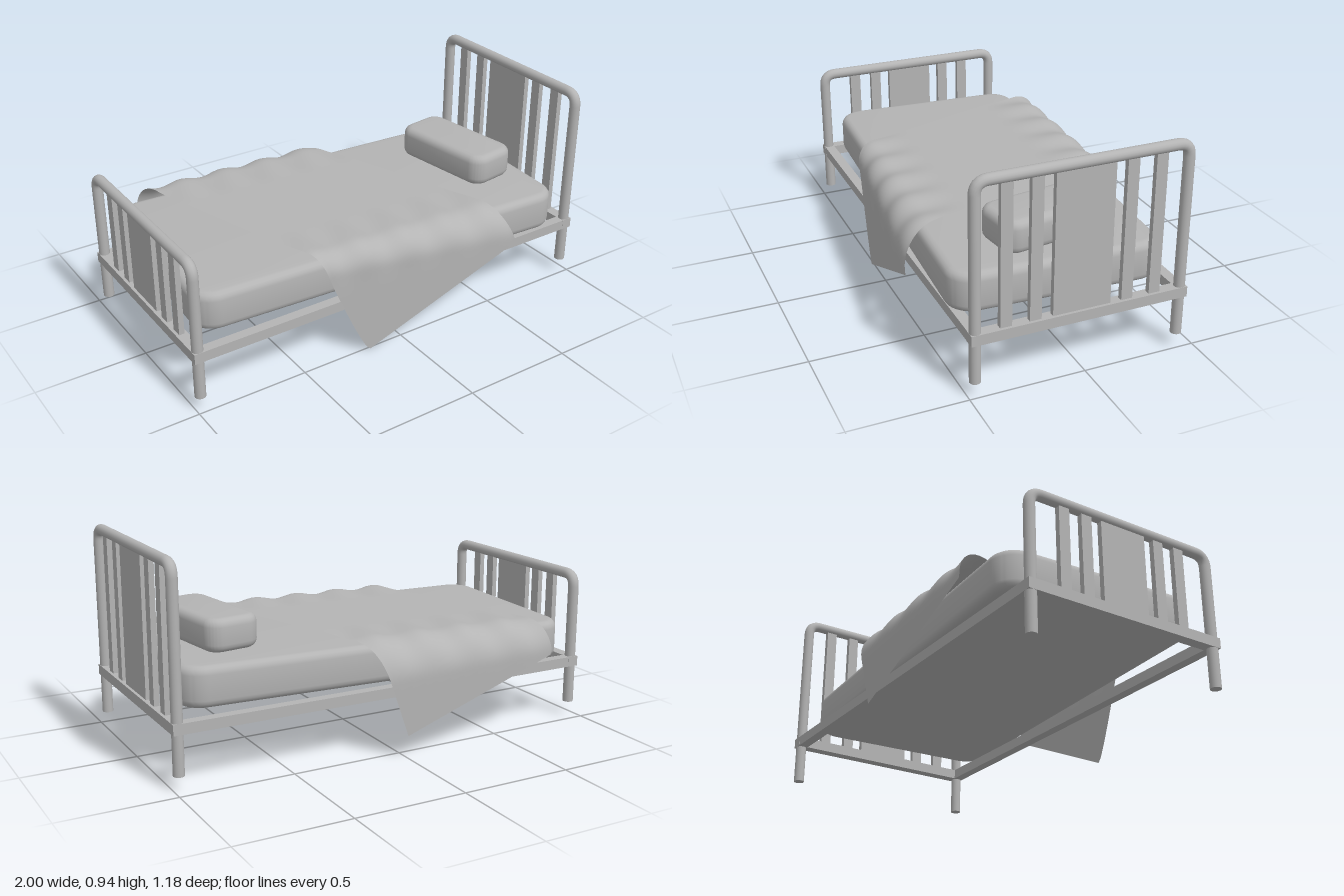
import * as THREE from 'three';
import { toCreasedNormals } from 'three/addons/utils/BufferGeometryUtils.js';

const MID_Z = 0.0175; // the frame sits slightly forward of centre
const POST_R = 0.024;

// Box-like cushion: rounded outline in plan, rounded top and bottom edges
function cushionGeometry(length, width, height, corner, bevel) {
  const a = length / 2 - bevel, b = width / 2 - bevel, r = corner - bevel;
  const s = new THREE.Shape();
  s.absarc(a - r, b - r, r, 0, Math.PI / 2);
  s.absarc(-a + r, b - r, r, Math.PI / 2, Math.PI);
  s.absarc(-a + r, -b + r, r, Math.PI, Math.PI * 1.5);
  s.absarc(a - r, -b + r, r, Math.PI * 1.5, Math.PI * 2);
  const g = new THREE.ExtrudeGeometry(s, {
    depth: height - 2 * bevel, bevelThickness: bevel, bevelSize: bevel, bevelSegments: 4, curveSegments: 8,
  });
  g.translate(0, 0, bevel);
  g.rotateX(-Math.PI / 2);
  return toCreasedNormals(g, 0.6);
}

// Cloth laid over the mattress: a flat slanted sheet folded down at both sides
function blanketGeometry() {
  const nu = 48, nv = 90;
  const g = new THREE.PlaneGeometry(1, 1, nu, nv);
  const p = g.attributes.position;
  const lerp = THREE.MathUtils.lerp, smooth = THREE.MathUtils.smoothstep;
  for (let i = 0; i < p.count; i++) {
    const u = p.getX(i) + 0.5, v = 0.5 - p.getY(i); // v runs from back to front
    const bow = 0.06 * Math.sqrt(Math.max(0, Math.sin(Math.PI * v))) * (1 - u);
    const x = lerp(lerp(-0.73, -0.17, v), lerp(0, 0.56, v), u) - bow;
    const flatZ = lerp(lerp(-0.68, 0.977, v), lerp(-0.914, 0.7, v), u);
    const side = flatZ > 0 ? 1 : -1;
    const start = side > 0 ? 0.42 + 0.055 * x : 0.41 - 0.055 * x;
    const R = side > 0 ? 0.11 + 0.06 * x : 0.165 + 0.035 * x;
    const d = Math.abs(flatZ) - start;
    let z = flatZ, drop = 0;
    if (d > 0) {
      const t = Math.min(d / R, Math.PI / 2);
      z = side * (start + R * Math.sin(t));
      drop = R * (1 - Math.cos(t)) + Math.max(0, d - R * Math.PI / 2);
    }
    // soft wrinkles that fade in towards the folds
    const k = smooth(d, -0.2, 0) * (1 - smooth(d, 0.05, 0.25));
    const wave = 0.007 * k * Math.sin(x * 30 + side);
    p.setXYZ(i, x, 0.508 - drop + wave, z + side * wave * 0.6);
  }
  g.computeVertexNormals();
  return g;
}

export function createModel() {
  const bed = new THREE.Group();
  bed.name = 'bed';
  const grey = new THREE.MeshStandardMaterial({ color: 0xb4b4b4 });
  grey.name = 'grey';
  const greyCloth = grey.clone();
  greyCloth.side = THREE.DoubleSide;

  const add = (parent, name, geometry, x, y, z, material = grey) => {
    const m = new THREE.Mesh(geometry, material);
    m.name = name;
    m.position.set(x, y, z);
    parent.add(m);
    return m;
  };
  const box = (parent, name, w, h, d, x, y, z) => add(parent, name, new THREE.BoxGeometry(w, h, d), x, y, z);

  // Bent tube hoop with slats and a centre panel; slat centres are offsets from the middle
  function endBoard(name, x, top, slats, panelWidth) {
    const board = new THREE.Group();
    board.name = name;
    board.position.set(x, 0, MID_Z);
    const V = (y, z) => new THREE.Vector3(0, y, z);
    const h = 0.45, t = top - POST_R, r = 0.055, base = 0.06;
    const path = new THREE.CurvePath();
    path.add(new THREE.LineCurve3(V(base, h), V(t - r, h)));
    path.add(new THREE.QuadraticBezierCurve3(V(t - r, h), V(t, h), V(t, h - r)));
    path.add(new THREE.LineCurve3(V(t, h - r), V(t, -h + r)));
    path.add(new THREE.QuadraticBezierCurve3(V(t, -h + r), V(t, -h), V(t - r, -h)));
    path.add(new THREE.LineCurve3(V(t - r, -h), V(base, -h)));
    add(board, 'hoop', new THREE.TubeGeometry(path, 180, POST_R, 16), 0, 0, 0);
    for (const s of [-1, 1]) {
      add(board, 'footCap', new THREE.CircleGeometry(POST_R, 16).rotateX(Math.PI / 2), 0, base, s * h);
      for (const o of slats) box(board, 'slat', 0.024, t - 0.26, 0.05, 0, (t + 0.26) / 2, s * o);
    }
    box(board, 'centrePanel', 0.024, t - 0.26, panelWidth, 0, (t + 0.26) / 2, 0);
    box(board, 'endRail', 0.05, 0.046, 0.948, 0, 0.258, 0);
    bed.add(board);
  }
  endBoard('headboard', 0.975, 0.935, [0.2, 0.325], 0.252);
  endBoard('footboard', -0.975, 0.69, [0.183, 0.292], 0.22);

  // Side rails
  for (const s of [-1, 1]) box(bed, 'sideRail', 1.92, 0.046, 0.046, 0, 0.258, MID_Z + s * 0.45);

  // Mattress and pillow, both laid slightly askew
  add(bed, 'mattress', cushionGeometry(1.82, 0.91, 0.175, 0.11, 0.035), -0.005, 0.298, 0.015).rotation.y = -0.055;
  add(bed, 'pillow', cushionGeometry(0.25, 0.52, 0.145, 0.07, 0.035), 0.662, 0.472, 0.02).rotation.y = 0.14;

  // Blanket
  add(bed, 'blanket', blanketGeometry(), 0, 0, 0, greyCloth);
  return bed;
}
